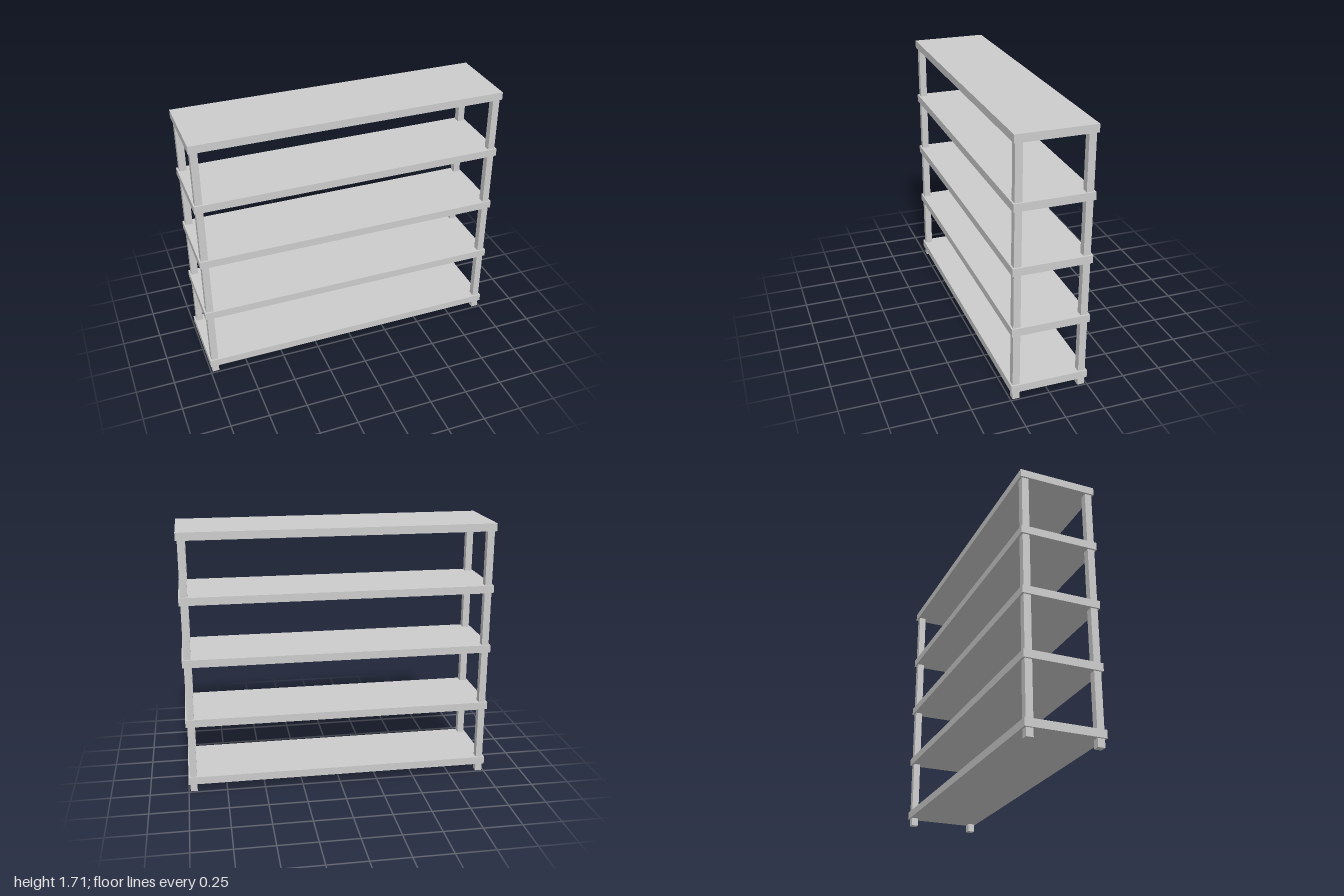
import * as THREE from 'three';

const WIDTH = 2, DEPTH = 0.495, THICKNESS = 0.05;
const HEIGHT = 1.71, SHELVES = 5, LOWEST = 0.053;
const POST = 0.045, INSET = 0.011;

export function createModel() {
  const group = new THREE.Group();
  group.name = 'shelvingUnit';
  const material = new THREE.MeshStandardMaterial({ color: 0xcccccc });

  const addBox = (name, size, position) => {
    const mesh = new THREE.Mesh(new THREE.BoxGeometry(...size), material);
    mesh.name = name;
    mesh.position.set(...position);
    group.add(mesh);
  };

  // Evenly spaced shelf boards
  const spacing = (HEIGHT - THICKNESS - LOWEST) / (SHELVES - 1);
  for (let i = 0; i < SHELVES; i++) {
    addBox(`shelf${i + 1}`, [WIDTH, THICKNESS, DEPTH], [0, LOWEST + THICKNESS / 2 + i * spacing, 0]);
  }

  // Corner posts, set in slightly and running from the floor to the top board
  const postHeight = HEIGHT - THICKNESS;
  const px = WIDTH / 2 - INSET - POST / 2;
  const pz = DEPTH / 2 - INSET - POST / 2;
  for (const [side, sx] of [['Left', 1], ['Right', -1]]) {
    for (const [end, sz] of [['front', 1], ['back', -1]]) {
      addBox(`${end}${side}Post`, [POST, postHeight, POST], [sx * px, postHeight / 2, sz * pz]);
    }
  }

  return group;
}
